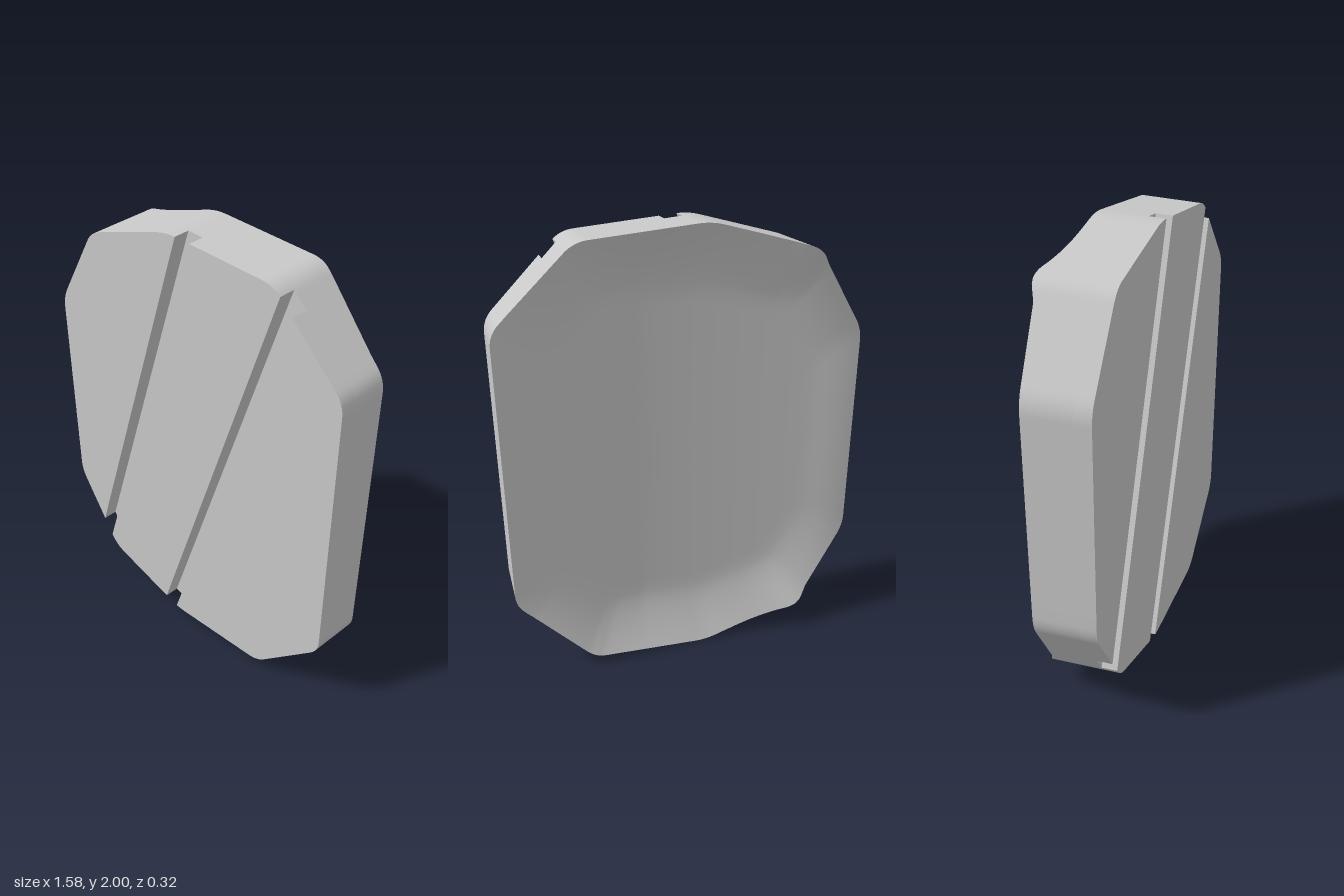
import * as THREE from 'three';
import { toCreasedNormals } from 'three/addons/utils/BufferGeometryUtils.js';

const FRONT = 0.158, FLOOR = 0.087;            // front face and groove floor
const SLOPE = 1 / 2.92;                        // groove lean, x per y
const GROOVES = [[-0.382, -0.303], [0.166, 0.246]]; // groove edges at mid height

// Corners of the upper half, counter-clockwise, relative to mid height
const upper = [[0.792, 0.63], [0.455, 0.966], [-0.09, 1.004], [-0.55, 0.872], [-0.79, 0.495]];
const corners = [...upper, ...upper.map(([x, y]) => [x, -y]).reverse()]
  .map(([x, y]) => new THREE.Vector2(x, y));

// Rounded outline, finely sampled along the straight edges
function makeOutline() {
  const pts = [], n = corners.length, cut = 0.055;
  for (let i = 0; i < n; i++) {
    const p = corners[i], prev = corners[(i + n - 1) % n], next = corners[(i + 1) % n];
    const toward = (a, b, d) => a.clone().add(b.clone().sub(a).setLength(d));
    const a = toward(p, prev, cut), b = toward(p, next, cut), c = toward(next, p, cut);
    pts.push(...new THREE.QuadraticBezierCurve(a, p, b).getPoints(8));
    for (let k = 1; k < 16; k++) pts.push(b.clone().lerp(c, k / 16));
  }
  return pts;
}

const taper = z => 1 - 0.05 * (z + 0.11);      // sides draw in toward the front

// Height of the back rim as a function of x
const rim = [[-0.79, -0.114], [-0.6, -0.135], [-0.565, -0.156], [-0.54, -0.16], [-0.5, -0.153],
  [-0.44, -0.136], [-0.38, -0.125], [-0.32, -0.118], [-0.25, -0.115], [0.45, -0.11], [0.72, -0.07],
  [0.792, -0.065]];
function rimZ(x) {
  if (x <= rim[0][0]) return rim[0][1];
  for (let i = 1; i < rim.length; i++) {
    const [x0, z0] = rim[i - 1], [x1, z1] = rim[i];
    if (x <= x1) return THREE.MathUtils.lerp(z0, z1, (x - x0) / (x1 - x0));
  }
  return rim[rim.length - 1][1];
}

// Floor of the dish: a flat slope toward +x, a curve rising toward -x
function dishZ(x) {
  return x > 0.2
    ? -0.025 - 0.04 * (x - 0.2) / 0.59
    : -0.025 - 0.089 * Math.pow((0.2 - x) / 0.99, 1.8);
}

// Back height at fraction t from the middle to outline point p
function backZ(p, t) {
  const s = Math.pow(Math.max(0, (t - 0.73) / 0.27), 1.5);
  return THREE.MathUtils.lerp(dishZ(p.x * t), rimZ(p.x), s);
}

// Back surface and lower side wall, built from rings
function makeShell(outline) {
  const pos = [], idx = [], n = outline.length;
  const ts = [0, 0.1, 0.2, 0.3, 0.4, 0.5, 0.6, 0.67, 0.73, 0.77, 0.81, 0.85, 0.89, 0.93, 0.97, 1];
  const rings = ts.map(t => p => [t, backZ(p, t)]);
  rings.push(() => [1, FLOOR]);
  rings.forEach((ring, r) => {
    for (const p of outline) {
      const [t, z] = ring(p), s = t * taper(z);
      pos.push(p.x * s, p.y * s, z);
    }
    if (r === 0) return;
    for (let i = 0; i < n; i++) {
      const j = (i + 1) % n, a = (r - 1) * n + i, b = (r - 1) * n + j, c = r * n + i, d = r * n + j;
      if (r > 1) idx.push(a, b, c);
      idx.push(b, d, c);
    }
  });
  const g = new THREE.BufferGeometry();
  g.setAttribute('position', new THREE.Float32BufferAttribute(pos, 3));
  g.setIndex(idx);
  return toCreasedNormals(g, 0.5);
}

// Keep the part of a polygon on one side of a slanted line
function clip(poly, edge, sign) {
  const dist = p => sign * (p.x - SLOPE * p.y - edge), out = [];
  poly.forEach((p, i) => {
    const q = poly[(i + 1) % poly.length], a = dist(p), b = dist(q);
    if (a >= 0) out.push(p);
    if (a * b < 0) out.push(p.clone().lerp(q, a / (a - b)));
  });
  return out;
}
const strip = (poly, left, right) => clip(clip(poly, left, 1), right, -1);

export function createModel() {
  const group = new THREE.Group();
  const grey = new THREE.MeshStandardMaterial({ color: 0xc8c8c8 });
  grey.name = 'plain grey';
  const add = (name, geometry) => {
    const mesh = new THREE.Mesh(geometry, grey);
    mesh.name = name;
    mesh.position.y = 1;
    group.add(mesh);
  };
  const outline = makeOutline();
  add('dishedBack', makeShell(outline));

  // Raised front panels between the grooves
  const [g1, g2] = GROOVES;
  [[-3, g1[0]], [g1[1], g2[0]], [g2[1], 3]].forEach(([l, r], i) => {
    const g = new THREE.ExtrudeGeometry(new THREE.Shape(strip(outline, l, r)),
      { depth: FRONT - FLOOR, bevelEnabled: false });
    g.translate(0, 0, FLOOR);
    const p = g.attributes.position;
    for (let k = 0; k < p.count; k++) {
      const s = taper(p.getZ(k));
      p.setXY(k, p.getX(k) * s, p.getY(k) * s);
    }
    add('frontPanel' + (i + 1), toCreasedNormals(g, 0.5));
  });

  // Groove floors
  GROOVES.forEach(([l, r], i) => {
    const s = taper(FLOOR);
    const g = new THREE.ShapeGeometry(new THREE.Shape(strip(outline, l, r)));
    g.scale(s, s, 1).translate(0, 0, FLOOR);
    add('grooveFloor' + (i + 1), g);
  });
  return group;
}
